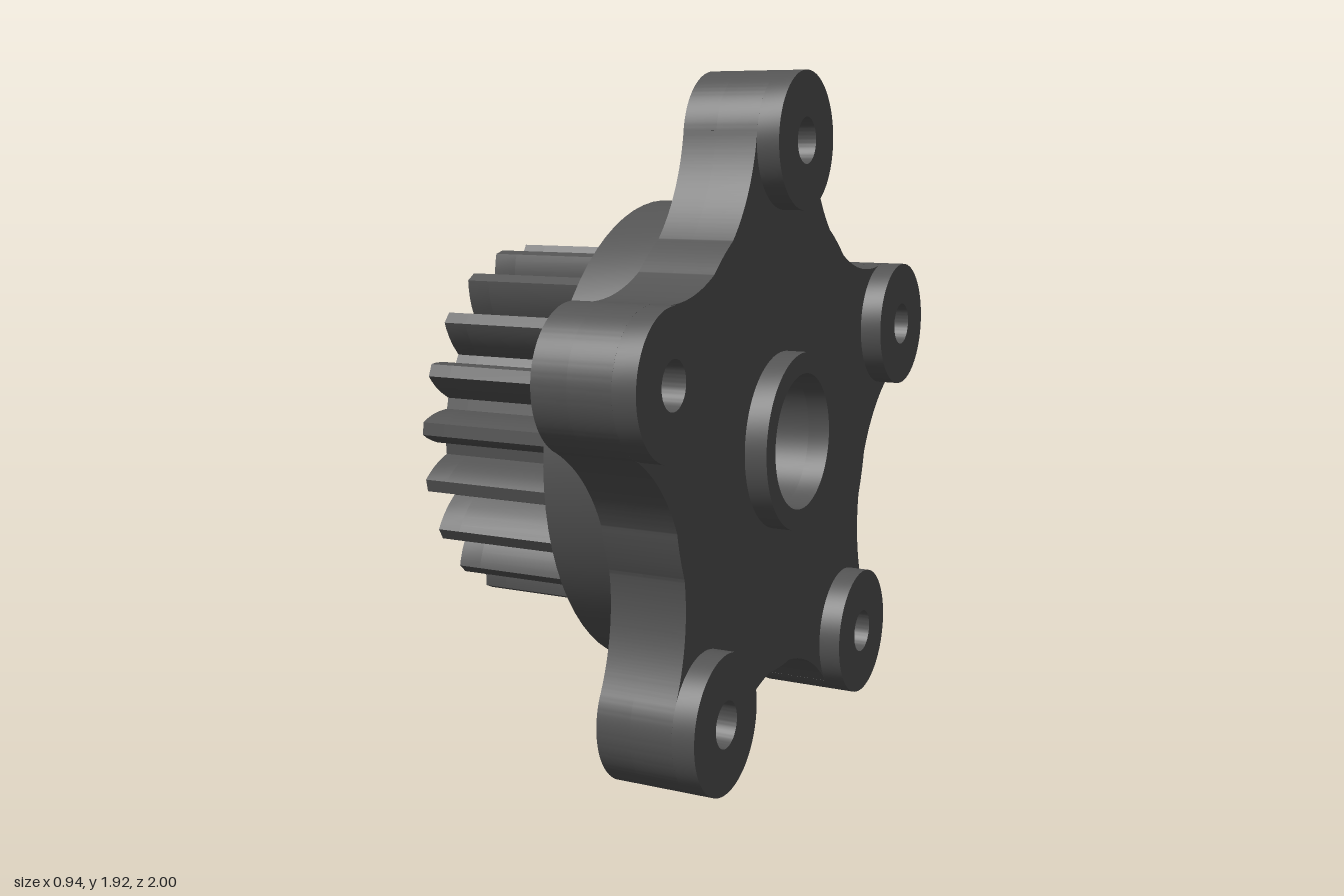
import * as THREE from 'three';
import { toCreasedNormals } from 'three/addons/utils/BufferGeometryUtils.js';

const AXIS_Y = 0.88;                  // height of the hub axis, which runs along x
const BORE = 0.195, PIN = 0.065;      // radii of the central bore and the small holes
const BOSS_R = 0.193, BOSS_DIST = 0.847;
const FLANGE_R = 0.675;
const ARMS = 5, TEETH = 20;
const TAU = Math.PI * 2;

const polar = (r, a) => new THREE.Vector2(r * Math.cos(a), r * Math.sin(a));
const armAngle = (i) => Math.PI / 2 + (i * TAU) / ARMS;
const angleFrom = (from, to) => Math.atan2(to.y - from.y, to.x - from.x);
const bossCentres = Array.from({ length: ARMS }, (_, i) => polar(BOSS_DIST, armAngle(i)));
const centre = new THREE.Vector2(0, 0);

function disc(c, r) {
  const s = new THREE.Shape();
  s.absarc(c.x, c.y, r, 0, TAU, false);
  return s;
}

function drill(shape, c, r) {
  const h = new THREE.Path();
  h.absarc(c.x, c.y, r, 0, TAU, true);
  shape.holes.push(h);
  return shape;
}

// Five round lobes joined by concave arcs tangent to them; the valleys end flush with the flange
function starShape() {
  const s = new THREE.Shape();
  const arcDist = 1.167, arcR = 0.5;
  const phi = Math.acos((FLANGE_R ** 2 + arcDist ** 2 - arcR ** 2) / (2 * FLANGE_R * arcDist));
  for (let i = 0; i < ARMS; i++) {
    const a = armAngle(i), mid = a + Math.PI / ARMS;
    const b = bossCentres[i], c = polar(arcDist, mid);
    const t = angleFrom(b, c);
    const v1 = angleFrom(c, polar(FLANGE_R, mid - phi));
    const v2 = angleFrom(c, polar(FLANGE_R, mid + phi));
    s.absarc(b.x, b.y, BOSS_R, 2 * a - t, t, false);
    s.absarc(c.x, c.y, arcR, t + Math.PI, v1, true);
    s.absarc(0, 0, FLANGE_R, mid - phi, mid + phi, false);
    s.absarc(c.x, c.y, arcR, v2, 2 * mid - t - Math.PI, true);
  }
  s.closePath();
  return s;
}

// Spur gear outline: each tooth from radius / half-width pairs
function gearShape() {
  const flank = [[0.42, 0.05], [0.46, 0.045], [0.49, 0.037], [0.515, 0.027], [0.532, 0.018]];
  const pts = [];
  for (let i = 0; i < TEETH; i++) {
    const a = (i * TAU) / TEETH - 0.08;
    for (const [r, w] of flank) pts.push(polar(r, a - w / r));
    for (const [r, w] of [...flank].reverse()) pts.push(polar(r, a + w / r));
  }
  return new THREE.Shape(pts);
}

export function createModel() {
  const model = new THREE.Group();
  model.name = 'gearHub';
  const material = new THREE.MeshStandardMaterial({ color: 0x545454 });

  // Extrudes a cross-section along x from x0 to x1
  function layer(name, shape, x0, x1) {
    const geo = new THREE.ExtrudeGeometry(shape, { depth: x1 - x0, bevelEnabled: false, curveSegments: 36 });
    geo.rotateY(Math.PI / 2);
    geo.translate(x0, AXIS_Y, 0);
    const mesh = new THREE.Mesh(toCreasedNormals(geo, 0.4), material);
    mesh.name = name;
    model.add(mesh);
  }

  // Gear: closed end with a pin hole, then the bored body
  layer('gearEnd', drill(gearShape(), centre, PIN), -0.47, -0.4);
  layer('gearBody', drill(gearShape(), centre, BORE), -0.4, 0.015);

  // Round flange between gear and star
  layer('flange', drill(disc(centre, FLANGE_R), centre, BORE), 0.015, 0.18);

  // Star plate: shallow pockets behind each bolt hole
  const pocketed = drill(starShape(), centre, BORE);
  const plate = drill(starShape(), centre, BORE);
  for (const b of bossCentres) {
    drill(pocketed, b, 0.163);
    drill(plate, b, PIN);
  }
  layer('starPocketLayer', pocketed, 0.18, 0.28);
  layer('starPlate', plate, 0.28, 0.402);

  // Raised bosses on the outer face
  bossCentres.forEach((b) => layer('boltBoss', drill(disc(b, BOSS_R), b, PIN), 0.402, 0.467));
  layer('centreBoss', drill(disc(centre, 0.255), centre, BORE), 0.402, 0.467);

  return model;
}
